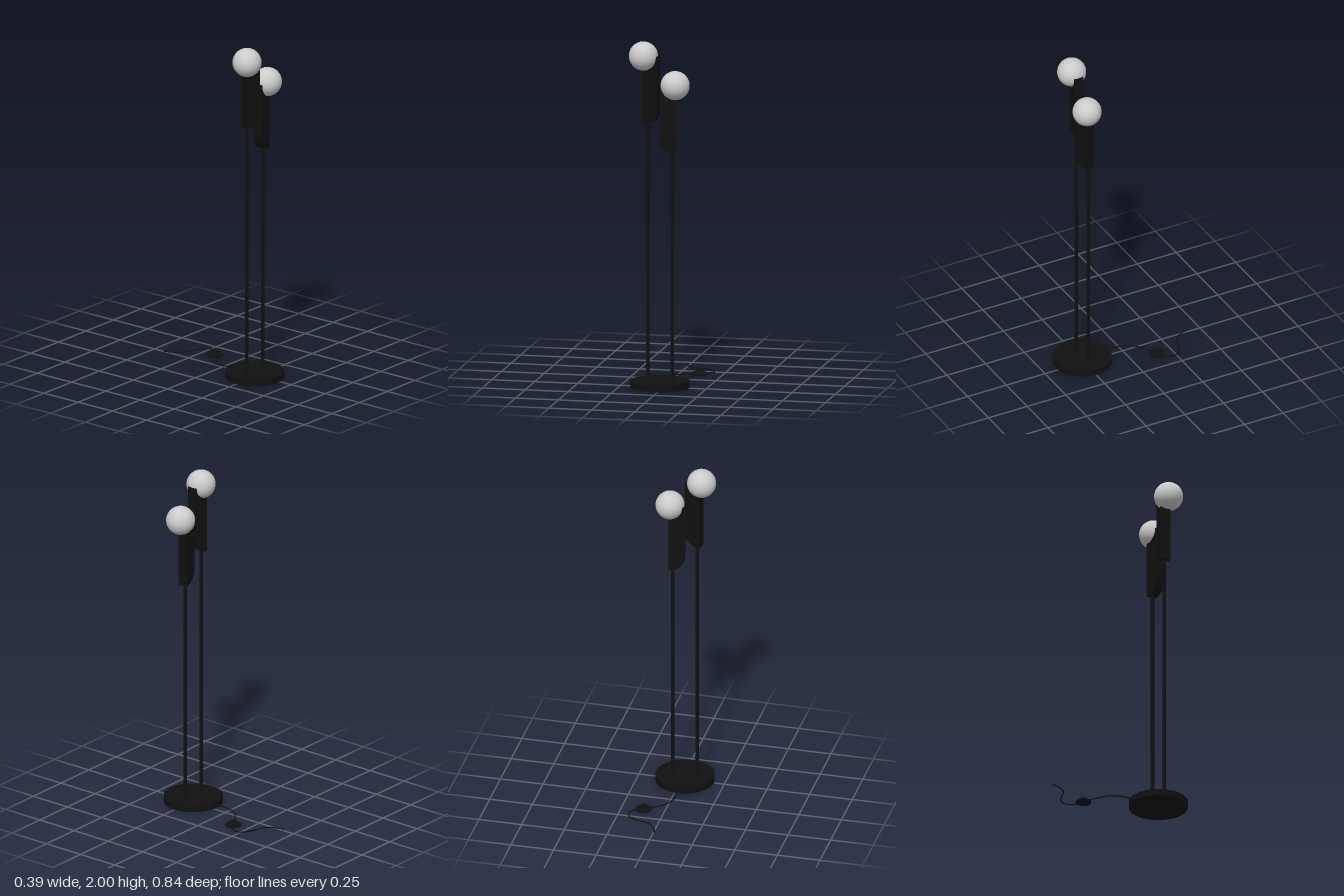
import * as THREE from 'three';

const black = new THREE.MeshStandardMaterial({ color: 0x101010 });
const grey = new THREE.MeshStandardMaterial({ color: 0xcccccc });

function add(parent, name, geometry, material, x = 0, y = 0, z = 0) {
  const mesh = new THREE.Mesh(geometry, material);
  mesh.name = name;
  mesh.position.set(x, y, z);
  parent.add(mesh);
  return mesh;
}

// Flat slab with one rounded lower corner; side = +1 rounds the +x corner
function holderGeometry(side) {
  const w = 0.047, h = 0.4, r = 0.085, depth = 0.056;
  const s = new THREE.Shape();
  s.moveTo(-w * side, 0);
  s.lineTo((w - r) * side, 0);
  s.bezierCurveTo((w - r * 0.45) * side, 0, w * side, r * 0.45, w * side, r);
  s.lineTo(w * side, h);
  s.lineTo(-w * side, h);
  s.closePath();
  const g = new THREE.ExtrudeGeometry(s, { depth, bevelEnabled: false, curveSegments: 16 });
  return g.translate(0, 0, -depth / 2);
}

// One stem with its holder and globe; side = +1 has its inner edge towards +x
function lamp(name, side, bottom) {
  const g = new THREE.Group();
  g.name = name;
  const x = d => -0.02 - side * d;
  add(g, 'stem', new THREE.CylinderGeometry(0.0105, 0.0105, bottom, 24), black, x(0.072), 0.02 + bottom / 2, 0.25);
  add(g, 'stemCollar', new THREE.CylinderGeometry(0.013, 0.015, 0.008, 24), black, x(0.072), 0.042, 0.25);
  const holder = add(g, 'globeHolder', holderGeometry(side), black, x(0.05), bottom, 0.2585);
  holder.rotation.y = -side * 0.21;
  add(g, 'globe', new THREE.SphereGeometry(0.083, 48, 32), grey, x(0.0925), bottom + 0.397, 0.268);
  return g;
}

export function createModel() {
  const model = new THREE.Group();
  model.name = 'floorLamp';

  add(model, 'base', new THREE.CylinderGeometry(0.168, 0.168, 0.038, 64), black, -0.02, 0.019, 0.25);
  model.add(lamp('tallLamp', 1, 1.521), lamp('shortLamp', -1, 1.357));

  // Cable from the back of the base, through the switch, across the floor
  const path = [
    [-0.018, 0.02, 0.09], [-0.025, 0.017, 0], [-0.009, 0.013, -0.055], [0.03, 0.009, -0.1],
    [0.08, 0.008, -0.133], [0.121, 0.008, -0.157], [0.165, 0.007, -0.182], [0.19, 0.006, -0.217],
    [0.18, 0.006, -0.262], [0.14, 0.006, -0.291], [0.053, 0.006, -0.32], [0.01, 0.006, -0.366],
    [-0.009, 0.006, -0.42],
  ].map(p => new THREE.Vector3(...p));
  const curve = new THREE.CatmullRomCurve3(path);
  add(model, 'cable', new THREE.TubeGeometry(curve, 120, 0.0035, 10), black);
  for (const t of [0, 1]) {
    const p = curve.getPoint(t);
    add(model, 'cableEnd', new THREE.SphereGeometry(0.0035, 10, 8), black, p.x, p.y, p.z);
  }

  // Foot switch: low domed disc with a raised button
  const profile = [
    [0, 0], [0.042, 0], [0.044, 0.003], [0.044, 0.009], [0.041, 0.013], [0.032, 0.018],
    [0.022, 0.021], [0.021, 0.027], [0.018, 0.03], [0, 0.031],
  ].map(p => new THREE.Vector2(...p));
  add(model, 'footSwitch', new THREE.LatheGeometry(profile, 40), black, 0.121, 0, -0.157);

  return model;
}
